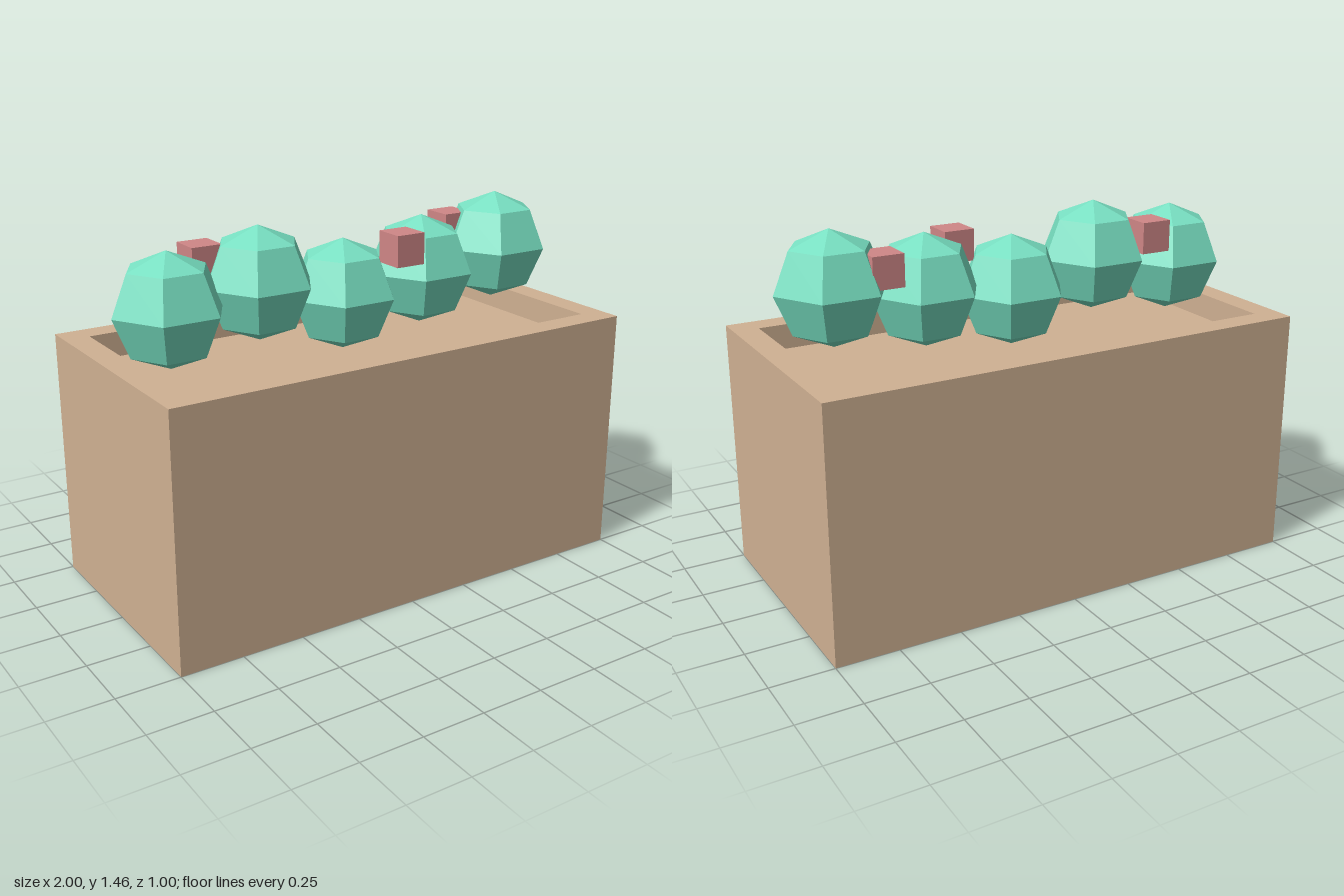
import * as THREE from 'three';

const paint = (name, color) => {
  const m = new THREE.MeshStandardMaterial({ color });
  m.name = name;
  return m;
};

export function createModel() {
  const group = new THREE.Group();
  group.name = 'planter';
  const clay = paint('clay', 0xd0b193);
  const leaf = paint('leaf green', 0x78e0c2);
  leaf.flatShading = true;
  const bloom = paint('bloom pink', 0xd08787);

  const add = (name, geometry, material, x, y, z) => {
    const mesh = new THREE.Mesh(geometry, material);
    mesh.name = name;
    mesh.position.set(x, y, z);
    group.add(mesh);
    return mesh;
  };

  // Planter: rectangular ring of walls
  const outline = (x, z) => [[-x, -z], [x, -z], [x, z], [-x, z]].map(p => new THREE.Vector2(...p));
  const walls = new THREE.Shape(outline(1, 0.5));
  walls.holes.push(new THREE.Path(outline(0.9, 0.4)));
  const wallGeometry = new THREE.ExtrudeGeometry(walls, { depth: 1, bevelEnabled: false });
  wallGeometry.rotateX(-Math.PI / 2);
  add('planterWalls', wallGeometry, clay, 0, 0, 0);

  // Solid filling, sunk a little below the rim
  add('planterBed', new THREE.BoxGeometry(1.8, 0.9, 0.8), clay, 0, 0.45, 0);

  // Row of faceted bushes at varying heights
  const bush = new THREE.SphereGeometry(0.222, 6, 4);
  [1.175, 1.225, 1.13, 1.18, 1.235].forEach((y, i) => add(`bush${i + 1}`, bush, leaf, (i - 2) * 0.375, y, 0));

  // Small cube blossoms
  const blossom = new THREE.BoxGeometry(0.125, 0.125, 0.125);
  [[-0.553, -0.127], [0.195, 0.121], [0.595, -0.104]].forEach(([x, z], i) =>
    add(`blossom${i + 1}`, blossom, bloom, x, 1.3125, z));

  return group;
}
